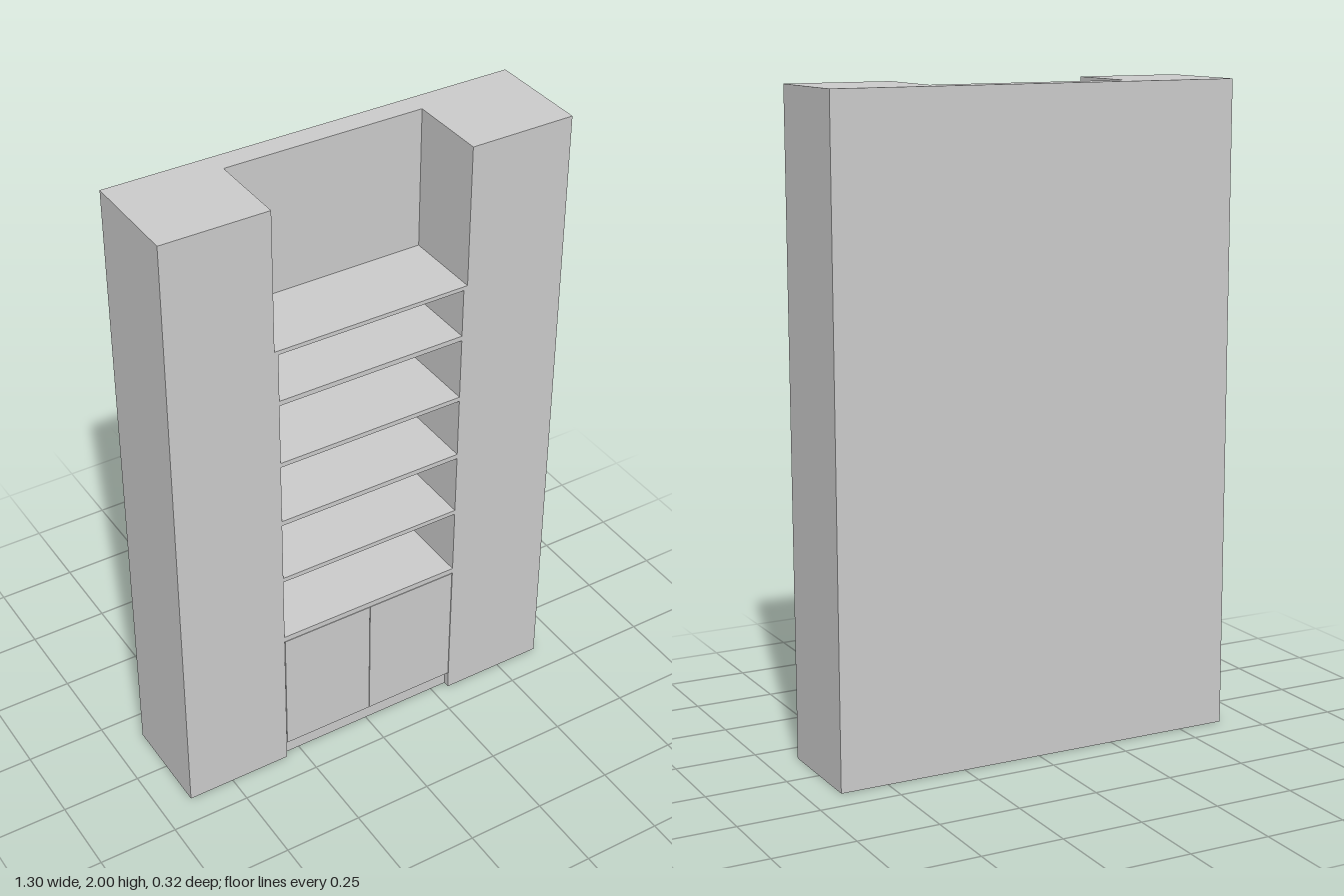
import * as THREE from 'three';

const HEIGHT = 2, HALF_W = 0.648, FRONT = 0.162, BACK = -0.162;
const NICHE = 0.316, NICHE_BACK = -0.091;   // recess in the wall
const INNER = 0.304;                        // inside face of the side panels
const CABINET_TOP = 1.554;

export function createModel() {
  const model = new THREE.Group();
  const material = new THREE.MeshStandardMaterial({ color: 0xcccccc });

  const add = (name, geometry) => {
    const mesh = new THREE.Mesh(geometry, material);
    mesh.name = name;
    model.add(mesh);
    return mesh;
  };
  // Box given by its limits on each axis
  const box = (name, x0, x1, y0, y1, z0, z1) =>
    add(name, new THREE.BoxGeometry(x1 - x0, y1 - y0, z1 - z0))
      .position.set((x0 + x1) / 2, (y0 + y1) / 2, (z0 + z1) / 2);

  // Wall: U-shaped plan (shape y is -z) raised to full height
  const plan = new THREE.Shape([
    [-HALF_W, -FRONT], [-NICHE, -FRONT], [-NICHE, -NICHE_BACK], [NICHE, -NICHE_BACK],
    [NICHE, -FRONT], [HALF_W, -FRONT], [HALF_W, -BACK], [-HALF_W, -BACK],
  ].map(([x, y]) => new THREE.Vector2(x, y)));
  const wall = new THREE.ExtrudeGeometry(plan, { depth: HEIGHT, bevelEnabled: false });
  wall.rotateX(-Math.PI / 2);
  add('wall', wall);

  // Side panels lining the niche, up to the top board
  box('rightSidePanel', -NICHE, -INNER, 0, CABINET_TOP, NICHE_BACK, FRONT);
  box('leftSidePanel', INNER, NICHE, 0, CABINET_TOP, NICHE_BACK, FRONT);

  // Boards from the top down: [bottom, top]
  [[1.541, CABINET_TOP], [1.385, 1.369], [1.168, 1.153], [0.956, 0.94],
    [0.74, 0.725], [0.506, 0.488]].forEach(([a, b], i) =>
    box(i ? `shelf${i}` : 'topBoard', -INNER, INNER, Math.min(a, b), Math.max(a, b), NICHE_BACK, FRONT));

  // Cupboard: floor board, recessed kick board and two inset doors
  const doorBack = FRONT - 0.016, gap = 0.002;
  box('cupboardFloor', -INNER, INNER, 0.061, 0.077, NICHE_BACK, doorBack);
  box('kickBoard', -INNER, INNER, 0, 0.061, 0.126, 0.142);
  box('rightDoor', -INNER + gap, -gap / 2, 0.061, 0.488 - gap, doorBack, FRONT);
  box('leftDoor', gap / 2, INNER - gap, 0.061, 0.488 - gap, doorBack, FRONT);

  return model;
}
